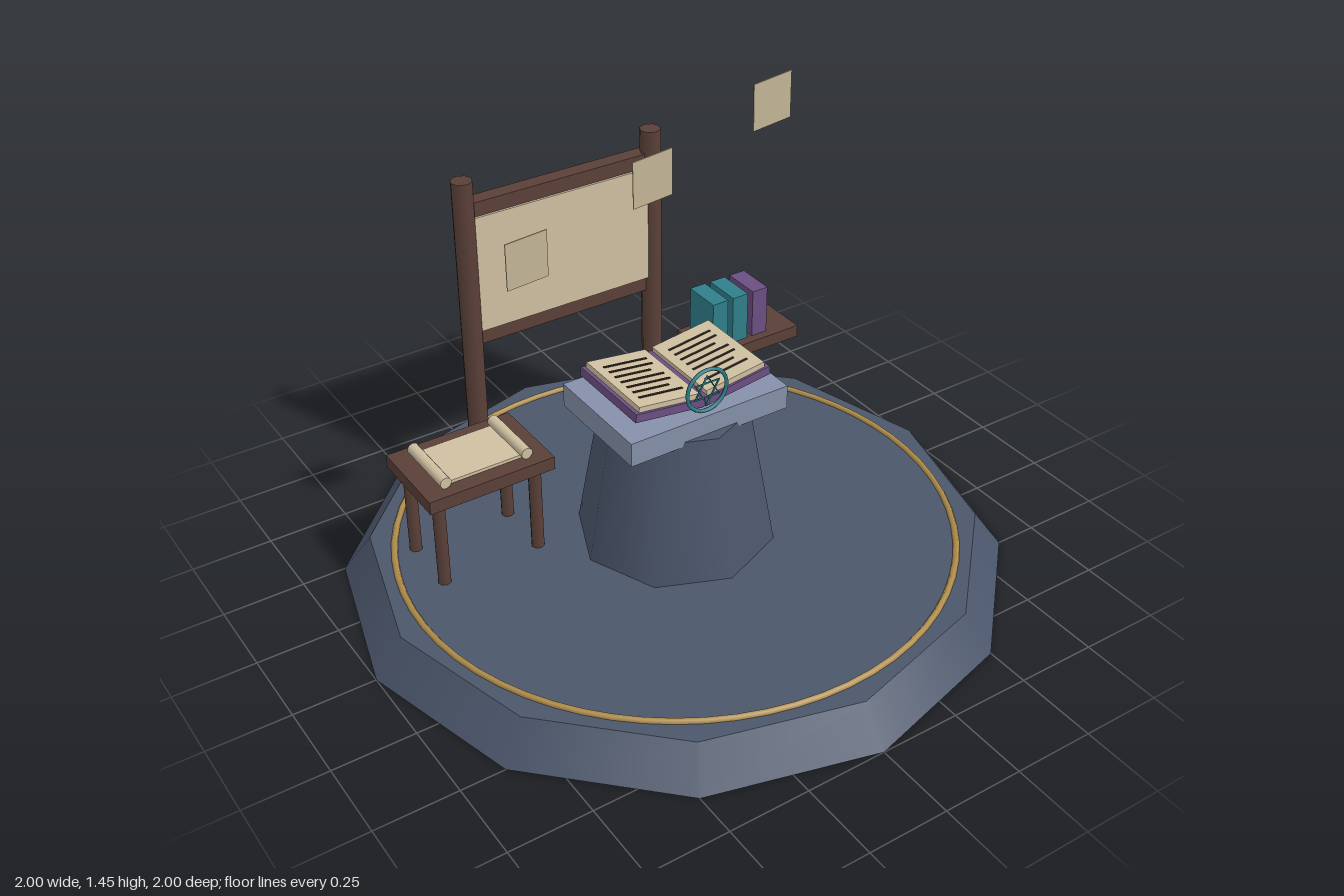
import * as THREE from 'three';

const mat = (name, color) => Object.assign(new THREE.MeshStandardMaterial({ color }), { name });

export function createModel() {
  const stone = mat('dark stone', 0x4b566b);
  const slate = mat('pale stone', 0x8590a9);
  const wood = mat('wood', 0x5a4038);
  const paper = mat('parchment', 0xcfc0a1);
  const gold = mat('gold', 0xb08d4a);
  const teal = mat('teal', 0x2f7f8b);
  const purple = mat('purple', 0x6b4f82);
  const ink = mat('ink', 0x33261f);

  const model = new THREE.Group();
  model.name = 'scribeStation';

  const add = (parent, name, geometry, material, x = 0, y = 0, z = 0) => {
    const mesh = new THREE.Mesh(geometry, material);
    mesh.name = name;
    mesh.position.set(x, y, z);
    parent.add(mesh);
    return mesh;
  };
  const box = (w, h, d) => new THREE.BoxGeometry(w, h, d);
  const rod = (r, h, sides = 8) => new THREE.CylinderGeometry(r, r, h, sides);
  const group = (name, parent = model) => {
    const g = new THREE.Group();
    g.name = name;
    parent.add(g);
    return g;
  };

  // Round dais with its inlaid ring
  add(model, 'dais', new THREE.CylinderGeometry(0.915, 1, 0.115, 12), stone, 0, 0.0575, 0);
  add(model, 'daisRing', new THREE.TorusGeometry(0.84, 0.01, 6, 64), gold, 0, 0.116, 0)
    .rotation.x = Math.PI / 2;

  // Pedestal and reading slab
  add(model, 'pedestal', new THREE.CylinderGeometry(0.22, 0.3, 0.45, 8), stone, 0, 0.335, 0);
  add(model, 'slab', box(0.53, 0.075, 0.365), slate, 0, 0.583, 0);

  // Open book: two tilted halves with lines of writing
  const book = group('openBook');
  add(book, 'spine', box(0.026, 0.03, 0.29), purple, 0, 0.642, 0);
  for (const side of [-1, 1]) {
    const half = group(side < 0 ? 'rightHalf' : 'leftHalf', book);
    half.position.set(side * 0.115, 0.655, 0);
    half.rotation.z = side * 0.13;
    add(half, 'cover', box(0.225, 0.026, 0.295), purple);
    add(half, 'pages', box(0.2, 0.018, 0.28), paper, 0, 0.021, 0);
    for (let i = 0; i < 7; i++) {
      const length = i % 3 === 2 ? 0.12 : 0.145;
      add(half, 'writing', box(length, 0.003, 0.007), ink, (length - 0.145) / 2, 0.031, -0.092 + i * 0.031);
    }
  }

  // Upright emblem: ring around a six-pointed star
  const emblem = group('emblem');
  emblem.position.set(0, 0.69, 0.16);
  add(emblem, 'emblemRing', new THREE.TorusGeometry(0.066, 0.006, 6, 32), teal);
  for (const turn of [Math.PI / 6, -Math.PI / 6]) {
    add(emblem, 'emblemTriangle', new THREE.TorusGeometry(0.046, 0.004, 4, 3), teal).rotation.z = turn;
  }

  // Notice board between two posts
  const board = group('noticeBoard');
  for (const x of [-0.325, 0.325]) add(board, 'post', rod(0.034, 0.99), wood, x, 0.605, -0.628);
  add(board, 'backing', box(0.62, 0.48, 0.05), wood, 0, 0.785, -0.64);
  add(board, 'sheet', box(0.61, 0.385, 0.008), paper, 0, 0.787, -0.609);

  // Side table carrying a scroll
  const table = group('sideTable');
  add(table, 'tableTop', box(0.4, 0.042, 0.275), wood, -0.545, 0.42, -0.243);
  for (const x of [-0.7, -0.39]) {
    for (const z of [-0.335, -0.15]) add(table, 'leg', rod(0.02, 0.3), wood, x, 0.26, z);
  }
  add(table, 'scrollSheet', box(0.26, 0.01, 0.18), paper, -0.545, 0.448, -0.243);
  for (const x of [-0.675, -0.415]) {
    add(table, 'scrollRoll', rod(0.018, 0.205, 10), paper, x, 0.459, -0.243).rotation.x = Math.PI / 2;
  }

  // Floating shelf of books
  const shelf = group('shelf');
  add(shelf, 'shelfBoard', box(0.335, 0.04, 0.19), wood, 0.488, 0.44, -0.375);
  [teal, teal, purple].forEach((m, i) => {
    add(shelf, 'shelfBook', box(0.056, 0.16, 0.127), m, 0.375 + i * 0.075, 0.54, -0.373);
  });

  // Loose pages drifting above
  for (let i = 0; i < 3; i++) {
    const page = add(model, 'loosePage', box(0.127, 0.158, 0.003), paper,
      (i - 1) * 0.4, 1.098 + i * 0.132, -0.112);
    page.rotation.set(0.15, 0, 0.08 + i * 0.02);
  }

  return model;
}
